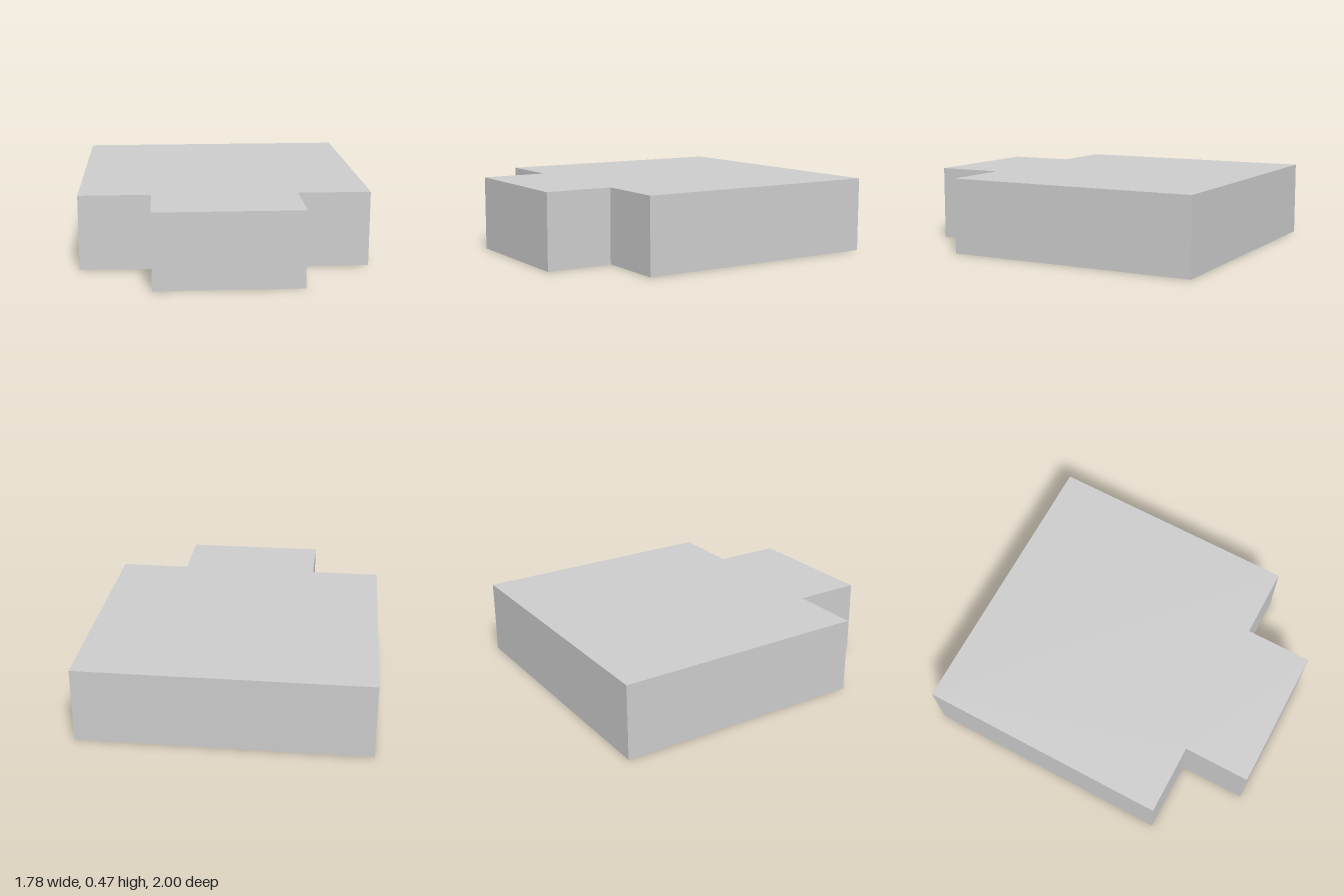
import * as THREE from 'three';

const HEIGHT = 0.466;
const HALF_WIDTH = 0.888;
const STEP_Z = 0.58; // where the wide body meets the narrow front tab
const TAB_LEFT = 0.443;
const TAB_RIGHT = -0.447;

export function createModel() {
  const group = new THREE.Group();
  group.name = 'steppedSlab';

  // T-shaped footprint, drawn with shape y = -z
  const outline = [
    [-HALF_WIDTH, 1],
    [-HALF_WIDTH, -STEP_Z],
    [TAB_RIGHT, -STEP_Z],
    [TAB_RIGHT, -1],
    [TAB_LEFT, -1],
    [TAB_LEFT, -STEP_Z],
    [HALF_WIDTH, -STEP_Z],
    [HALF_WIDTH, 1],
  ].map(([x, y]) => new THREE.Vector2(x, y));

  // Extrude the footprint and stand it upright
  const geometry = new THREE.ExtrudeGeometry(new THREE.Shape(outline), {
    depth: HEIGHT,
    bevelEnabled: false,
  });
  geometry.rotateX(-Math.PI / 2);

  const slab = new THREE.Mesh(
    geometry,
    new THREE.MeshStandardMaterial({ color: 0xcccccc, flatShading: true })
  );
  slab.name = 'slabWithFrontTab';
  group.add(slab);
  return group;
}
